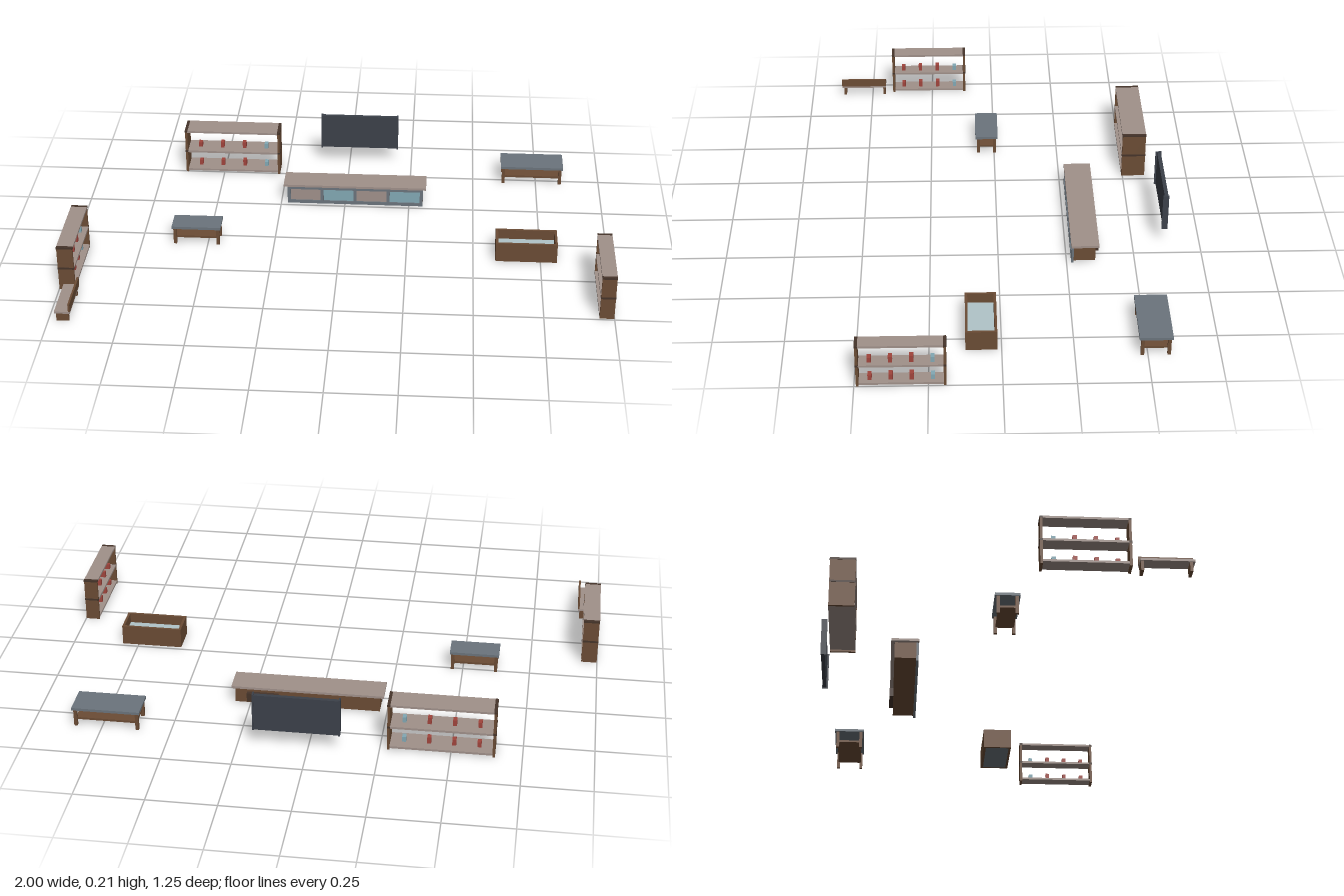
import * as THREE from 'three';

const paint = (color) => new THREE.MeshStandardMaterial({ color, roughness: 0.8 });
const mats = {
  wood: paint(0x6b4c35), taupe: paint(0xa0918a), slate: paint(0x6b747c), screen: paint(0x3c414a),
  red: paint(0xa0443c), blue: paint(0x82a8b4), pale: paint(0xb0c4c8), dark: paint(0x45342a),
};

// box given by its limits on each axis
function box(parent, name, mat, [x0, x1], [y0, y1], [z0, z1]) {
  const mesh = new THREE.Mesh(new THREE.BoxGeometry(x1 - x0, y1 - y0, z1 - z0), mats[mat]);
  mesh.position.set((x0 + x1) / 2, (y0 + y1) / 2, (z0 + z1) / 2);
  mesh.name = name;
  parent.add(mesh);
  return mesh;
}

function part(root, name, x = 0, z = 0, turn = 0) {
  const g = new THREE.Group();
  g.name = name;
  g.position.set(x, 0, z);
  g.rotation.y = turn;
  root.add(g);
  return g;
}

// open bookcase running along local x, with four items on the two lower boards
function bookcase(root, name, x, z, turn, length, depth, height) {
  const g = part(root, name, x, z, turn);
  const l = length / 2, d = depth / 2, t = 0.009;
  for (const s of [-1, 1]) {
    const c = s * (l - t / 2);
    box(g, 'sidePanel', 'wood', [c - t / 2, c + t / 2], [0, height], [-d + 0.001, d - 0.001]);
    // thin trim where the boards meet the side
    for (const y of [height / 2, height - 0.004]) {
      box(g, 'sideTrim', 'dark', [c - t / 2 - 0.001, c + t / 2 + 0.001], [y - 0.003, y + 0.0045], [-d, d]);
    }
  }
  const boards = [0.007, height / 2 - 0.004, height - 0.008];
  boards.forEach((y, i) => {
    box(g, 'shelfBoard', 'taupe', [-l + t, l - t], [y, y + 0.008], [-d, d]);
    if (i === 2) return;
    ['red', 'red', 'red', 'blue'].forEach((mat, k) => {
      const c = (k - 1.5) * length * 0.233;
      const h = [0.02, 0.023, 0.025, 0.02][k];
      box(g, mat === 'red' ? 'book' : 'ornament', mat, [c - 0.007, c + 0.007], [y + 0.008, y + 0.008 + h], [-0.011, 0.011]);
    });
  });
}

// low table with four legs and a lower shelf
function lowTable(root, name, x, z, width, depth) {
  const g = part(root, name, x, z);
  const w = width / 2, d = depth / 2;
  box(g, 'tableTop', 'slate', [-w, w], [0.066, 0.076], [-d, d]);
  box(g, 'lowerShelf', 'wood', [-w + 0.012, w - 0.012], [0.024, 0.032], [-d + 0.012, d - 0.012]);
  for (const sx of [-1, 1]) for (const sz of [-1, 1]) {
    const cx = sx * (w - 0.011), cz = sz * (d - 0.012);
    box(g, 'tableLeg', 'wood', [cx - 0.006, cx + 0.006], [0, 0.066], [cz - 0.006, cz + 0.006]);
  }
}

function mediaConsole(root) {
  const g = part(root, 'mediaConsole');
  const x0 = -0.225, x1 = 0.304;
  box(g, 'consoleTop', 'taupe', [-0.24, 0.316], [0.071, 0.08], [-0.368, -0.266]);
  box(g, 'consoleBody', 'wood', [x0, x1], [0.009, 0.071], [-0.355, -0.276]);
  // front frame with four door panels
  box(g, 'topRail', 'slate', [x0, x1], [0.061, 0.071], [-0.276, -0.267]);
  box(g, 'plinth', 'slate', [x0, x1], [0, 0.013], [-0.276, -0.267]);
  const pitch = (x1 - x0 - 0.012) / 4;
  for (let i = 0; i <= 4; i++) {
    const x = x0 + i * pitch;
    box(g, 'stile', 'slate', [x, x + 0.012], [0.013, 0.061], [-0.276, -0.267]);
    if (i < 4) box(g, 'door', i % 2 ? 'blue' : 'taupe', [x + 0.012, x + pitch], [0.013, 0.061], [-0.276, -0.271]);
  }
  box(g, 'cableBox', 'dark', [0.145, 0.26], [0.02, 0.054], [-0.37, -0.355]);
}

function wallScreen(root) {
  const g = part(root, 'wallScreen');
  box(g, 'screenPanel', 'screen', [-0.109, 0.189], [0.069, 0.209], [-0.626, -0.612]);
  for (const x of [-0.115, 0.189]) {
    box(g, 'screenSide', 'screen', [x, x + 0.006], [0.067, 0.212], [-0.628, -0.606]);
  }
}

function openCrate(root) {
  const g = part(root, 'openCrate', 0.697, 0.07);
  const w = 0.114, d = 0.055, t = 0.009, h = 0.076;
  box(g, 'crateBase', 'slate', [-w + t, w - t], [0, 0.01], [-d + t, d - t]);
  box(g, 'crateFilling', 'pale', [-w + t, w - t], [0.01, 0.038], [-d + t, d - t]);
  for (const s of [-1, 1]) {
    const cz = s * (d - t / 2), cx = s * (w - t / 2);
    box(g, 'longWall', 'wood', [-w, w], [0, h], [cz - t / 2, cz + t / 2]);
    box(g, 'endWall', 'wood', [cx - t / 2, cx + t / 2], [0, h], [-d + t, d - t]);
  }
}

function bench(root) {
  const g = part(root, 'bench');
  box(g, 'seat', 'taupe', [-0.976, -0.92], [0.034, 0.042], [0.444, 0.627]);
  box(g, 'backrest', 'wood', [-0.926, -0.919], [0.042, 0.073], [0.444, 0.627]);
  for (const z of [0.451, 0.614]) {
    box(g, 'benchLeg', 'wood', [-0.971, -0.926], [0, 0.034], [z - 0.005, z + 0.005]);
  }
}

export function createModel() {
  const root = new THREE.Group();
  root.name = 'livingRoomFurniture';
  bookcase(root, 'backBookcase', -0.465, -0.541, 0, 0.379, 0.092, 0.184);
  bookcase(root, 'rightBookcase', -0.97, 0.263, Math.PI / 2, 0.304, 0.06, 0.177);
  bookcase(root, 'leftBookcase', 0.973, 0.341, Math.PI / 2, 0.304, 0.054, 0.17);
  lowTable(root, 'smallTable', -0.542, 0.03, 0.184, 0.089);
  lowTable(root, 'largeTable', 0.733, -0.527, 0.246, 0.116);
  mediaConsole(root);
  wallScreen(root);
  openCrate(root);
  bench(root);
  return root;
}
